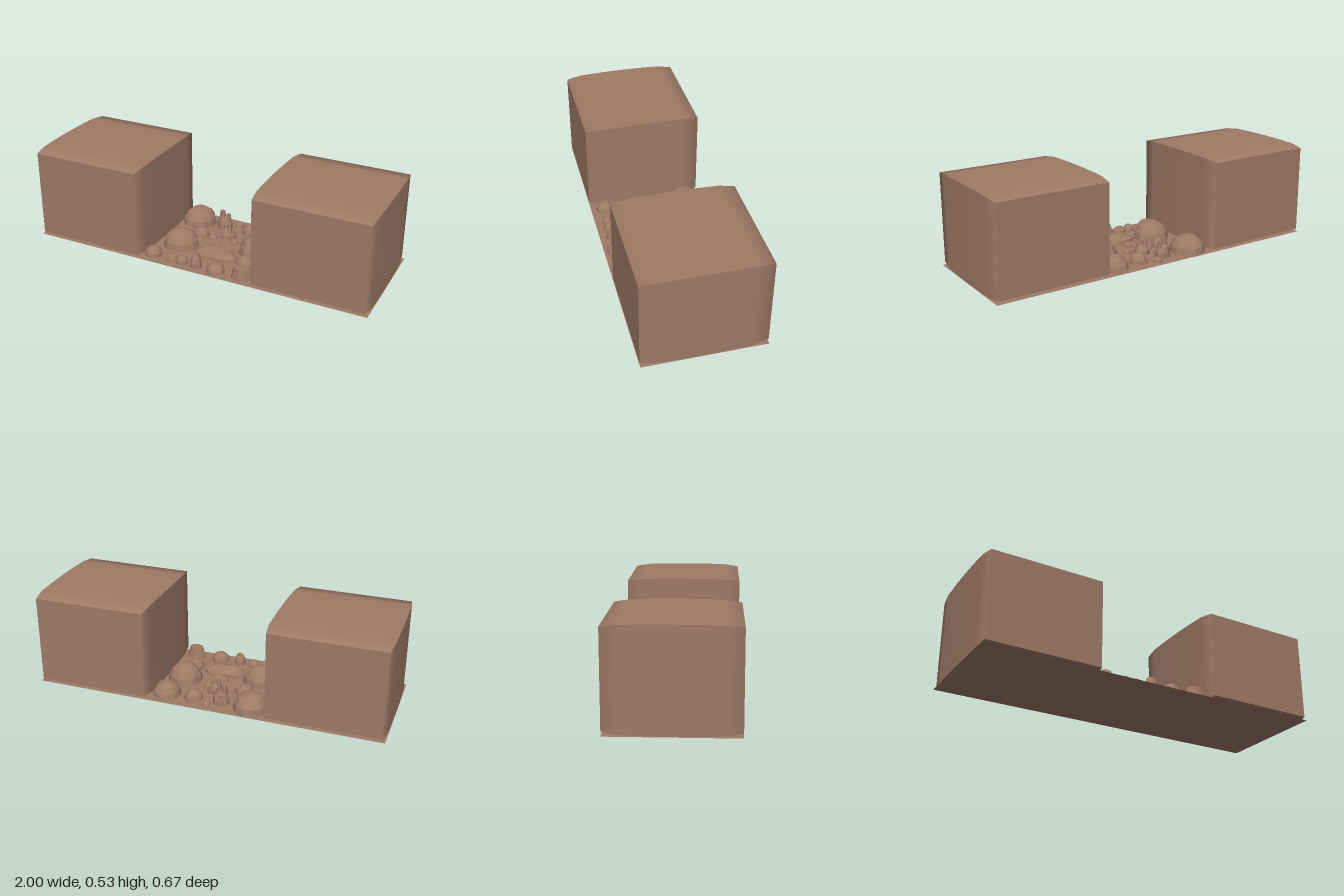
import * as THREE from 'three';

const W = 0.665, H = 0.53, D = 0.667;

// Amount by which the block's section shrinks towards its flat front and back
function inset(z) {
  const a = Math.abs(z);
  return a < 0.25 ? 0.004 * (a / 0.25) ** 2 : 0.004 + 0.011 * (a - 0.25) / 0.083;
}

function blockGeometry() {
  const geo = new THREE.BoxGeometry(W, H, D, 1, 1, 8);
  const p = geo.attributes.position;
  const stations = [-0.3335, -0.25, -0.155, -0.075, 0, 0.075, 0.155, 0.25, 0.3335];
  for (let i = 0; i < p.count; i++) {
    const z = stations[Math.round((p.getZ(i) / D + 0.5) * 8)];
    const d = inset(z);
    p.setXYZ(i, p.getX(i) - Math.sign(p.getX(i)) * d, p.getY(i) - Math.sign(p.getY(i)) * d, z);
  }
  geo.computeVertexNormals();
  // Soften the long sides towards the flat ends
  const n = geo.attributes.normal, v = new THREE.Vector3();
  for (let i = 0; i < p.count; i++) {
    v.fromBufferAttribute(n, i);
    if (Math.abs(v.z) > 0.9 || Math.abs(p.getZ(i)) < 0.33) continue;
    v.z = Math.sign(p.getZ(i)) * 0.8;
    v.normalize();
    n.setXYZ(i, v.x, v.y, v.z);
  }
  return geo;
}

// Half-buried faceted boulder; rough ones have an uneven surface
function rockGeometry(rx, h, rz, sides, rough, seed) {
  const geo = new THREE.SphereGeometry(1, sides, 4, 0, Math.PI * 2, 0, Math.PI / 2);
  const p = geo.attributes.position;
  for (let i = 0; i < p.count; i++) {
    const x = p.getX(i), y = p.getY(i), z = p.getZ(i);
    const k = 1 + rough * Math.sin(x * 4.1 + z * 5.3 + y * 3 + seed * 1.7);
    p.setXYZ(i, x * rx * k, y * h * (y > 0.95 ? 1 : k), z * rz * k);
  }
  geo.computeVertexNormals();
  return geo;
}

export function createModel() {
  const group = new THREE.Group();
  const clay = new THREE.MeshStandardMaterial({ color: 0x9e7a66 });
  clay.name = 'clay brown';
  const stone = new THREE.MeshStandardMaterial({ color: 0x9e7a66, flatShading: true });
  stone.name = 'stone brown';
  const ground = new THREE.MeshStandardMaterial({ color: 0x9e7a66, side: THREE.DoubleSide });
  ground.name = 'ground brown';

  const add = (name, geo, mat, x, y, z) => {
    const mesh = new THREE.Mesh(geo, mat);
    mesh.name = name;
    mesh.position.set(x, y, z);
    group.add(mesh);
    return mesh;
  };

  // Thin ground sheet under everything
  add('groundSheet', new THREE.PlaneGeometry(2, D).rotateX(-Math.PI / 2), ground, 0, 0, 0);

  // Two large blocks
  const block = blockGeometry();
  add('leftBlock', block, clay, 1 - W / 2, 0.003 + H / 2, 0);
  add('rightBlock', block, clay, -1 + W / 2, 0.003 + H / 2, 0);

  // Boulders: x, z, radius x, height, radius z, roughness
  const rocks = [
    [-0.24, -0.225, 0.1, 0.1, 0.104, 0.02],
    [0.255, -0.225, 0.08, 0.08, 0.085, 0.02],
    [0.22, -0.03, 0.1, 0.105, 0.105, 0.02],
    [-0.205, 0.08, 0.107, 0.105, 0.1, 0.02],
    [0.04, 0.115, 0.14, 0.055, 0.065, 0.06],
    [0.095, -0.225, 0.055, 0.055, 0.053, 0.02],
    [-0.155, -0.075, 0.053, 0.053, 0.053, 0.02],
    [0.225, 0.13, 0.055, 0.053, 0.053, 0.02],
    [-0.29, 0.25, 0.053, 0.053, 0.053, 0.02],
    [0.11, 0.265, 0.055, 0.053, 0.053, 0.02],
    [-0.165, 0.26, 0.036, 0.04, 0.036, 0.05],
    [-0.1, 0.26, 0.036, 0.04, 0.036, 0.05],
    [-0.015, 0.26, 0.035, 0.07, 0.036, 0.06],
    [0, -0.275, 0.027, 0.027, 0.027, 0],
    [-0.075, -0.07, 0.027, 0.027, 0.027, 0],
    [0.065, -0.07, 0.027, 0.027, 0.027, 0],
    [0, 0.02, 0.027, 0.027, 0.027, 0],
    [-0.07, -0.22, 0.05, 0.08, 0.048, 0.08],
    [0, -0.12, 0.048, 0.06, 0.048, 0.08],
  ];
  rocks.forEach(([x, z, rx, h, rz, rough], i) => {
    add('boulder', rockGeometry(rx, h, rz, rx > 0.07 ? 11 : 9, rough, i), stone, x, 0, z);
  });

  // Jagged peaks on the two craggy boulders: x, z, radius, height
  for (const [x, z, r, h] of [
    [-0.082, -0.215, 0.028, 0.112], [-0.05, -0.225, 0.025, 0.092],
    [-0.018, -0.125, 0.022, 0.076], [0.014, -0.11, 0.022, 0.07],
  ]) {
    add('cragPeak', new THREE.CylinderGeometry(r * 0.5, r, h, 6), stone, x, h / 2, z);
  }

  // Squared-off stone near the front corner
  const slab = add('squareStone', new THREE.CylinderGeometry(0.042, 0.06, 0.065, 8), stone, 0.265, 0.0325, 0.265);
  slab.scale.z = 0.72;
  slab.rotation.y = 0;
  return group;
}
